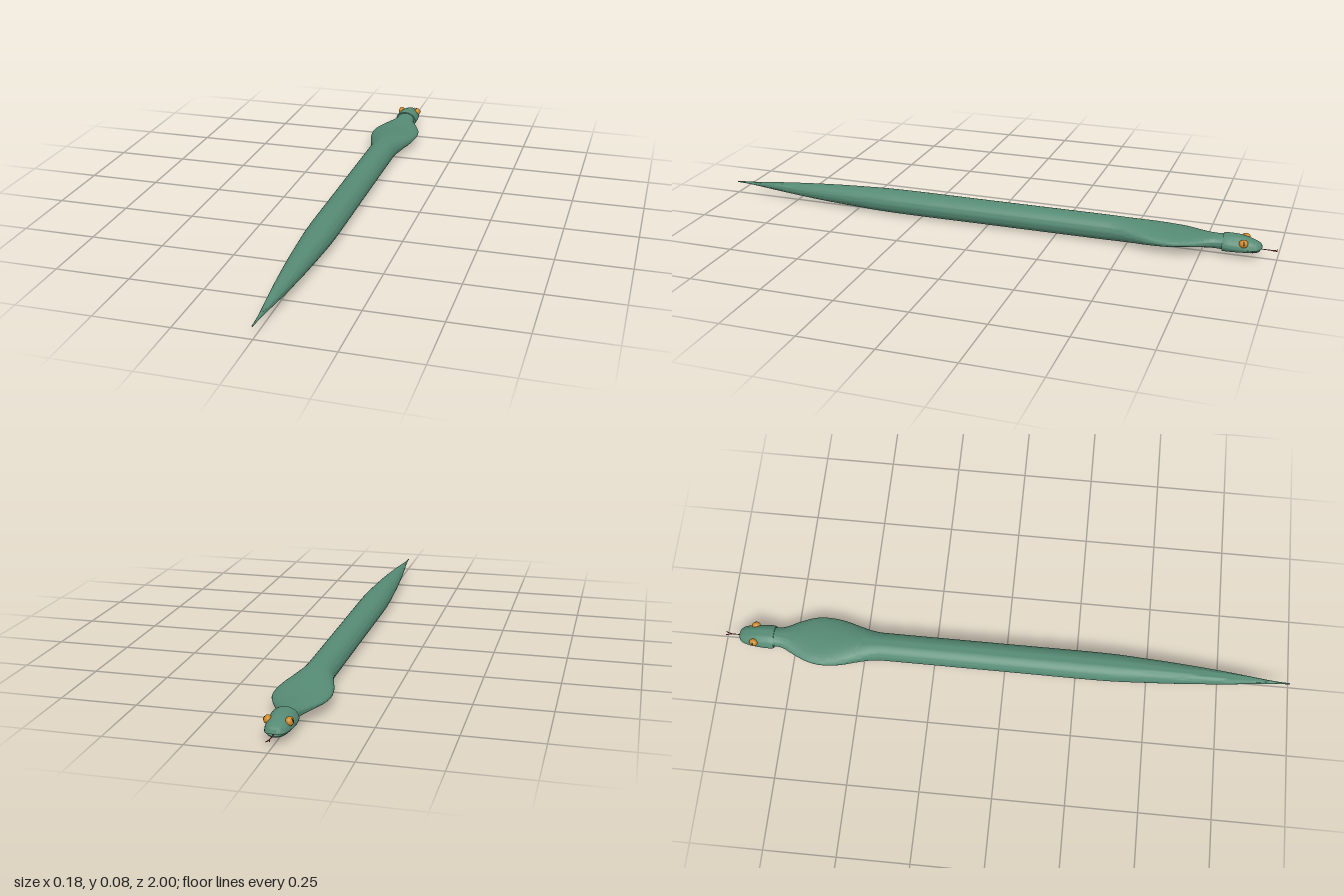
import * as THREE from 'three';
import { toCreasedNormals } from 'three/addons/utils/BufferGeometryUtils.js';

const SKIN = 0x558a74, AMBER = 0xd08a28, DARK = 0x181414, RED = 0x9a3038;

// Smooth closed loft along z. Each section: [z, halfWidth, middleY, heightAbove, heightBelow]
function loft(sections, steps, sides) {
  const path = new THREE.CatmullRomCurve3(
    sections.map(([z, w, y]) => new THREE.Vector3(w, y, z)), false, 'catmullrom', 0.5);
  const heights = new THREE.CatmullRomCurve3(
    sections.map(([z, , , up, down]) => new THREE.Vector3(up, down, z)), false, 'catmullrom', 0.5);
  const pos = [], index = [];
  for (let i = 0; i <= steps; i++) {
    const p = path.getPoint(i / steps), h = heights.getPoint(i / steps);
    for (let j = 0; j < sides; j++) {
      const a = (j / sides) * Math.PI * 2, s = Math.sin(a);
      pos.push(p.x * Math.cos(a), p.y + s * (s > 0 ? h.x : h.y), p.z);
      if (i === steps) continue;
      const k = i * sides + j, n = i * sides + (j + 1) % sides;
      index.push(k, n, k + sides, n, n + sides, k + sides);
    }
  }
  // End caps
  const first = sections[0], last = sections[sections.length - 1];
  const c0 = pos.length / 3, top = steps * sides;
  pos.push(0, first[2], first[0], 0, last[2], last[0]);
  for (let j = 0; j < sides; j++) {
    const n = (j + 1) % sides;
    index.push(c0, n, j, c0 + 1, top + j, top + n);
  }
  const g = new THREE.BufferGeometry();
  g.setAttribute('position', new THREE.Float32BufferAttribute(pos, 3));
  g.setIndex(index);
  return toCreasedNormals(g, 0.8);
}

function part(name, geometry, color, parent) {
  const mesh = new THREE.Mesh(geometry, new THREE.MeshStandardMaterial({ color }));
  mesh.name = name;
  parent.add(mesh);
  return mesh;
}

export function createModel() {
  const snake = new THREE.Group();
  snake.name = 'snake';

  // Body: neck, flattened hood, straight trunk and long tapering tail
  part('body', loft([
    [-0.83, 0.034, 0.045, 0.026, 0.026],
    [-0.79, 0.039, 0.045, 0.023, 0.023],
    [-0.74, 0.064, 0.045, 0.020, 0.020],
    [-0.69, 0.084, 0.045, 0.020, 0.020],
    [-0.64, 0.090, 0.044, 0.024, 0.024],
    [-0.58, 0.083, 0.044, 0.031, 0.031],
    [-0.52, 0.066, 0.044, 0.037, 0.037],
    [-0.46, 0.052, 0.044, 0.041, 0.041],
    [-0.38, 0.050, 0.044, 0.042, 0.042],
    [0.00, 0.050, 0.044, 0.042, 0.042],
    [0.33, 0.050, 0.044, 0.042, 0.042],
    [0.48, 0.044, 0.044, 0.038, 0.038],
    [0.64, 0.034, 0.044, 0.030, 0.030],
    [0.80, 0.020, 0.044, 0.018, 0.018],
    [0.93, 0.006, 0.044, 0.006, 0.006],
    [1.00, 0.002, 0.044, 0.002, 0.002],
  ], 120, 40), SKIN, snake);

  const head = new THREE.Group();
  head.name = 'head';
  snake.add(head);

  // Skull and upper lip, flat underneath
  part('upperHead', loft([
    [-0.950, 0.004, 0.038, 0.005, 0],
    [-0.946, 0.018, 0.037, 0.014, 0],
    [-0.935, 0.029, 0.036, 0.022, 0],
    [-0.910, 0.037, 0.036, 0.031, 0],
    [-0.875, 0.041, 0.037, 0.038, 0],
    [-0.840, 0.043, 0.039, 0.037, 0],
    [-0.822, 0.041, 0.040, 0.034, 0],
  ], 40, 32), SKIN, head);

  // Lower jaw, slightly shorter and opening towards the snout
  part('lowerJaw', loft([
    [-0.943, 0.004, 0.029, 0, 0.003],
    [-0.938, 0.017, 0.030, 0, 0.007],
    [-0.925, 0.029, 0.032, 0, 0.011],
    [-0.905, 0.036, 0.035, 0, 0.015],
    [-0.875, 0.041, 0.037, 0, 0.019],
    [-0.840, 0.043, 0.039, 0, 0.023],
    [-0.822, 0.041, 0.040, 0, 0.024],
  ], 40, 32), SKIN, head);

  // Mouth lining seen in the gap between the jaws
  const mouth = part('mouthLining', new THREE.SphereGeometry(1, 24, 12), RED, head);
  mouth.scale.set(0.028, 0.005, 0.04);
  mouth.position.set(0, 0.034, -0.897);

  // Eyes with upright slit pupils
  for (const side of [-1, 1]) {
    const eye = new THREE.Group();
    eye.name = side > 0 ? 'leftEye' : 'rightEye';
    eye.position.set(side * 0.033, 0.058, -0.892);
    eye.rotation.set(0, side * 0.25, side * 0.35);
    head.add(eye);
    part('eyeball', new THREE.SphereGeometry(0.0135, 24, 16), AMBER, eye).scale.set(0.85, 1, 1.1);
    const pupil = part('pupil', new THREE.SphereGeometry(0.008, 16, 12), DARK, eye);
    pupil.scale.set(0.5, 1, 0.35);
    pupil.position.x = side * 0.0085;
  }

  // Forked tongue
  const rod = (name, ...pts) => part(name, new THREE.TubeGeometry(
    new THREE.CatmullRomCurve3(pts.map(p => new THREE.Vector3(...p))), 10, 0.0016, 8), RED, head);
  rod('tongue', [0, 0.034, -0.91], [0, 0.034, -0.95], [0, 0.034, -0.98]);
  for (const side of [-1, 1])
    rod('tongueFork', [0, 0.034, -0.978], [side * 0.003, 0.034, -0.99], [side * 0.006, 0.035, -1]);

  return snake;
}
